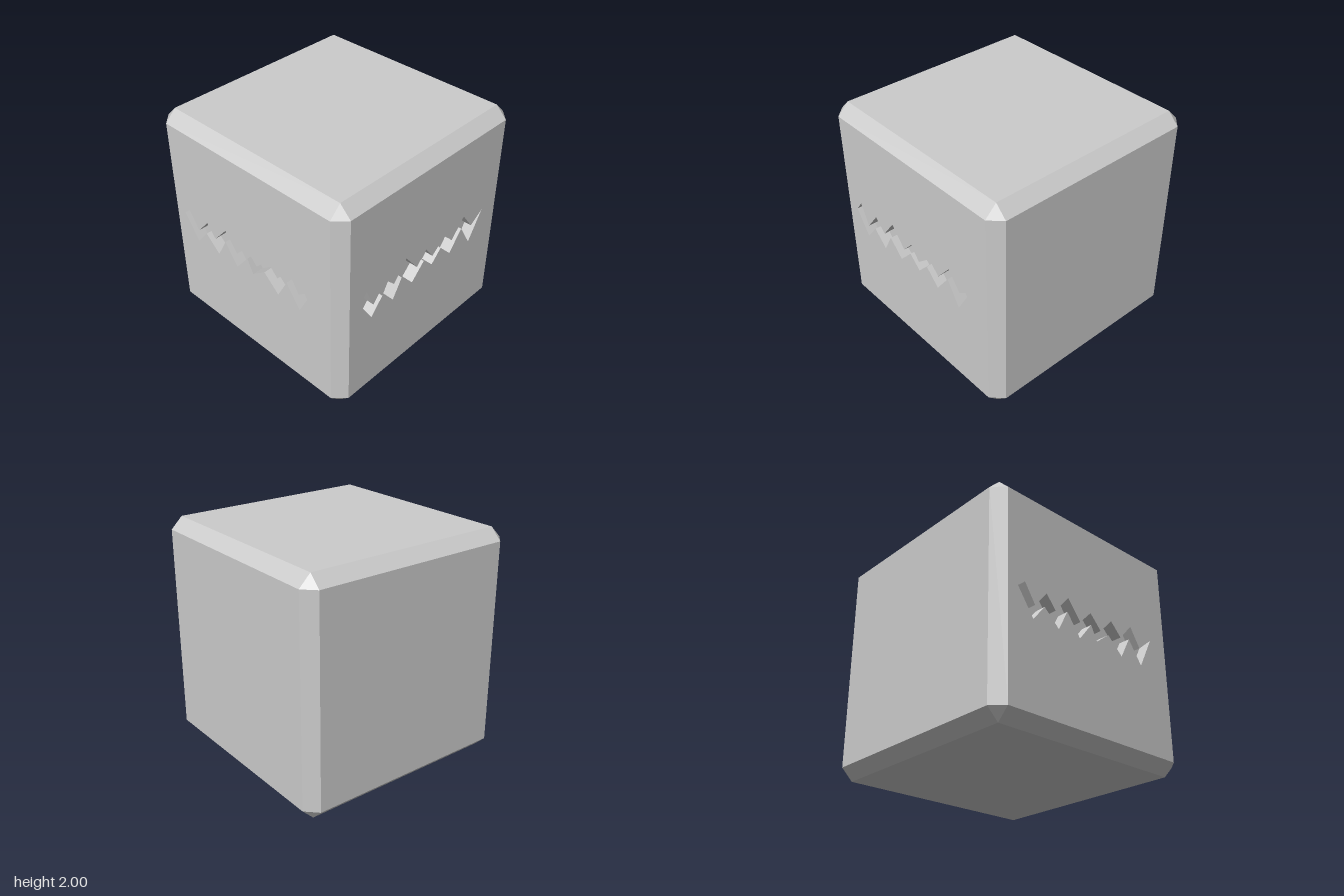
import * as THREE from 'three';
import { mergeGeometries } from 'three/addons/utils/BufferGeometryUtils.js';

const HALF = 1, BEVEL = 0.1, FLAT = HALF - BEVEL, DEPTH = 0.1;
const material = new THREE.MeshStandardMaterial({ color: 0xcccccc, flatShading: true });

// Crack outlines, clockwise from the left tip: across the top, back along the bottom
const frontCrack = [
  [-0.8, 1.07], [-0.73, 1.13], [-0.63, 0.97], [-0.505, 1.115], [-0.415, 1.0], [-0.27, 1.165], [-0.145, 1.0],
  [-0.02, 1.125], [0.09, 1.005], [0.225, 1.14], [0.33, 1.03], [0.465, 1.175], [0.565, 1.01], [0.715, 1.13],
  [0.57, 0.855], [0.435, 1.05], [0.33, 0.86], [0.18, 1.0], [0.04, 0.895], [-0.02, 1.02], [-0.155, 0.855],
  [-0.285, 1.04], [-0.385, 0.855], [-0.53, 0.99], [-0.65, 0.845],
];
const sideCrack = [
  [-0.79, 1.04], [-0.72, 1.135], [-0.635, 0.945], [-0.505, 1.11], [-0.4, 1.0], [-0.265, 1.175], [-0.125, 1.0],
  [-0.02, 1.115], [0.07, 0.995], [0.215, 1.115], [0.32, 1.01], [0.46, 1.175], [0.58, 1.015], [0.715, 1.11],
  [0.565, 0.85], [0.44, 1.06], [0.305, 0.88], [0.175, 1.015], [0.07, 0.905], [-0.04, 1.01], [-0.175, 0.87],
  [-0.31, 1.01], [-0.405, 0.84], [-0.535, 0.97], [-0.655, 0.825],
];

function fromTriangles(positions) {
  const geo = new THREE.BufferGeometry();
  geo.setAttribute('position', new THREE.Float32BufferAttribute(positions, 3));
  geo.computeVertexNormals();
  return geo;
}

function addMesh(parent, name, geometry) {
  const mesh = new THREE.Mesh(geometry, material);
  mesh.name = name;
  parent.add(mesh);
  return mesh;
}

const plainFace = () => new THREE.PlaneGeometry(2 * FLAT, 2 * FLAT).translate(0, 0, HALF);

// A flat face with a zigzag crack sunk straight into it
function crackedFace(name, outline) {
  const face = new THREE.Group();
  face.name = name;
  const points = outline.map(([x, y]) => new THREE.Vector2(x, y - HALF));

  const panel = new THREE.Shape([[-1, -1], [1, -1], [1, 1], [-1, 1]].map(
    ([x, y]) => new THREE.Vector2(x * FLAT, y * FLAT)));
  panel.holes.push(new THREE.Path(points));
  addMesh(face, 'crackedPanel', new THREE.ShapeGeometry(panel).translate(0, 0, HALF));

  addMesh(face, 'crackFloor',
    new THREE.ShapeGeometry(new THREE.Shape(points)).translate(0, 0, HALF - DEPTH));

  const walls = [];
  points.forEach((p, i) => {
    const q = points[(i + 1) % points.length];
    const a = [p.x, p.y, HALF], b = [q.x, q.y, HALF];
    const a2 = [p.x, p.y, HALF - DEPTH], b2 = [q.x, q.y, HALF - DEPTH];
    walls.push(...a, ...a2, ...b2, ...a, ...b2, ...b);
  });
  addMesh(face, 'crackWalls', fromTriangles(walls));
  return face;
}

// Twelve bevel strips: four around each axis
function bevelStrips() {
  const strips = [];
  for (let k = 0; k < 4; k++) {
    const strip = () => new THREE.PlaneGeometry(2 * FLAT, BEVEL * Math.SQRT2)
      .translate(0, 0, (HALF - BEVEL / 2) * Math.SQRT2)
      .rotateX(Math.PI / 4 + k * Math.PI / 2);
    strips.push(strip(), strip().rotateZ(Math.PI / 2), strip().rotateY(Math.PI / 2));
  }
  return mergeGeometries(strips);
}

// Eight corner triangles, winding flipped on mirrored corners
function cornerTriangles() {
  const positions = [];
  for (const x of [-1, 1]) for (const y of [-1, 1]) for (const z of [-1, 1]) {
    const a = [x * HALF, y * FLAT, z * FLAT];
    const b = [x * FLAT, y * HALF, z * FLAT];
    const c = [x * FLAT, y * FLAT, z * HALF];
    positions.push(...a, ...(x * y * z > 0 ? [...b, ...c] : [...c, ...b]));
  }
  return fromTriangles(positions);
}

export function createModel() {
  const model = new THREE.Group();
  model.name = 'crackedBlock';
  const block = new THREE.Group();
  block.name = 'block';
  block.position.y = HALF;
  model.add(block);

  // Cracked faces on the front and the +x side
  block.add(crackedFace('frontFace', frontCrack));
  const side = crackedFace('leftFace', sideCrack);
  side.rotation.y = Math.PI / 2;
  block.add(side);

  // Plain faces
  addMesh(block, 'backFace', plainFace().rotateY(Math.PI));
  addMesh(block, 'rightFace', plainFace().rotateY(-Math.PI / 2));
  addMesh(block, 'topFace', plainFace().rotateX(-Math.PI / 2));
  addMesh(block, 'bottomFace', plainFace().rotateX(Math.PI / 2));

  // Bevelled edges and corners
  addMesh(block, 'bevelEdges', bevelStrips());
  addMesh(block, 'bevelCorners', cornerTriangles());
  return model;
}
